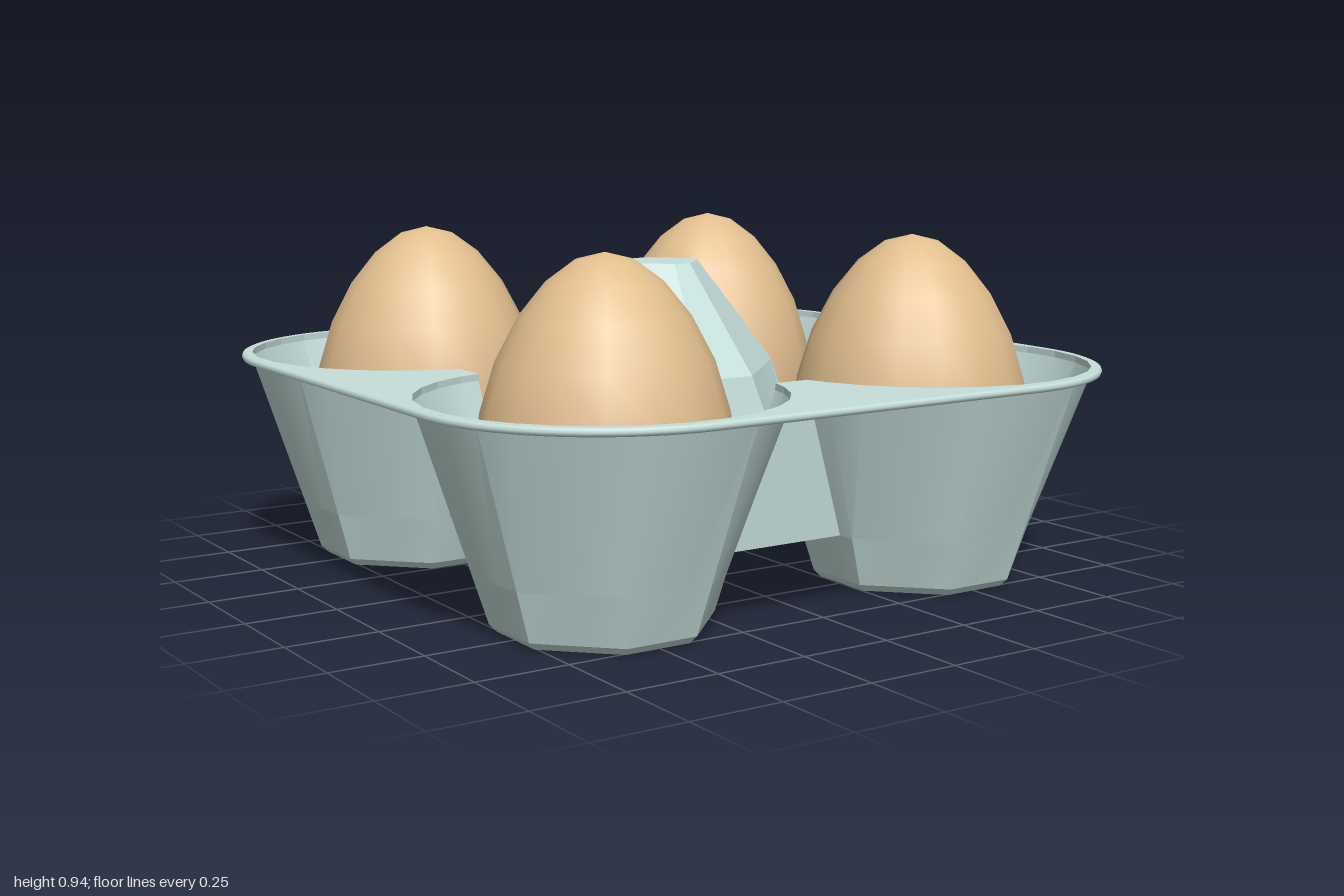
import * as THREE from 'three';
import { toCreasedNormals } from 'three/addons/utils/BufferGeometryUtils.js';

const RIM_Y = 0.57, FLOOR_Y = 0.155, POST_Y = 0.56, BEVEL_Y = 0.02;
const CENTRE = 0.505, TOP_R = 0.465;
// Angles (deg) measured from the diagonal to the tray's middle
const OUTER = 57.5, INNER_LOW = 28, INNER_HIGH = 22, FOOT_CORNER = 24.7;

const range = (a, b, n) => Array.from({ length: n + 1 }, (_, i) => a + (b - a) * i / n);
const lerp = THREE.MathUtils.lerp;

// Radius at a world angle of the foot: an octagon whose long sides face the diagonals
function footRadius(a) {
  const c = Math.abs(Math.cos(a)), s = Math.abs(Math.sin(a));
  return Math.min(0.27 / Math.max(c, s), 0.37 / (c + s));
}

// Point on the wall of the +x +z cup; the foot blends into a round mouth
function cupPoint(deg, y) {
  const a = THREE.MathUtils.degToRad(225 + deg);
  const t = Math.max(0, (y - BEVEL_Y) / (RIM_Y - BEVEL_Y));
  const r = lerp(footRadius(a), TOP_R, t) * (y < BEVEL_Y ? 0.93 : 1);
  return new THREE.Vector3(CENTRE + r * Math.cos(a), y, CENTRE + r * Math.sin(a));
}

// Skin joining successive rows of points
function skin(rows) {
  const pos = [], idx = [], n = rows[0].length;
  rows.forEach(row => row.forEach(p => pos.push(p.x, p.y, p.z)));
  for (let j = 0; j < rows.length - 1; j++) {
    for (let i = 0; i < n - 1; i++) {
      const a = j * n + i, b = a + n;
      idx.push(a, b, a + 1, a + 1, b, b + 1);
    }
  }
  const g = new THREE.BufferGeometry();
  g.setAttribute('position', new THREE.Float32BufferAttribute(pos, 3));
  g.setIndex(idx);
  return toCreasedNormals(g, 0.35);
}

export function createModel() {
  const model = new THREE.Group();
  const pulp = new THREE.MeshStandardMaterial({ color: 0xc6dfdb, side: THREE.DoubleSide });
  const shell = new THREE.MeshStandardMaterial({ color: 0xe2be8e });
  const add = (parent, name, geometry, material = pulp) => {
    const m = new THREE.Mesh(geometry, material);
    m.name = name;
    parent.add(m);
    return m;
  };

  // Wall angles, with a column at every corner of the foot
  const inner = [-INNER_LOW, ...range(-FOOT_CORNER, FOOT_CORNER, 4), INNER_LOW];
  const notch = range(INNER_LOW, OUTER, 3);
  const half = [OUTER, ...range(65.3, 114.7, 4), ...range(114.7, 155.3, 3).slice(1), 167.6];
  const outer = [...half, 180, ...half.map(d => 360 - d).reverse()];
  const notch2 = notch.map(d => 360 - d).reverse();
  const around = [...inner, ...notch.slice(1), ...outer.slice(1), ...notch2.slice(1)];
  const ring = (angles, y) => angles.map(d => cupPoint(d, y));

  // Cup foot and lower wall, all the way round
  const base = around.map(() => new THREE.Vector3(CENTRE, 0, CENTRE));
  const lowerCup = skin([base, ring(around, 0), ring(around, BEVEL_Y), ring(around, FLOOR_Y)]);
  // Upper wall on the outside
  const outerWall = skin([ring(outer, FLOOR_Y), ring(outer, RIM_Y)]);
  // Upper wall on the inside, straightening to meet the post
  const left = cupPoint(-INNER_HIGH, POST_Y), right = cupPoint(INNER_HIGH, POST_Y);
  const postEdge = inner.map(d => left.clone().lerp(right, (d + INNER_LOW) / (2 * INNER_LOW)));
  const innerWall = skin([ring(inner, FLOOR_Y), postEdge]);
  // Trough joining two neighbouring cups
  const section = [right, ...ring(notch, FLOOR_Y), cupPoint(OUTER, RIM_Y)];
  const trough = skin([section, section.map(p => new THREE.Vector3(p.x, p.y, -p.z))]);

  for (let k = 0; k < 4; k++) {
    const corner = new THREE.Group();
    corner.name = 'cup';
    corner.rotation.y = k * Math.PI / 2;
    add(corner, 'cupBase', lowerCup);
    add(corner, 'cupOuterWall', outerWall);
    add(corner, 'cupInnerWall', innerWall);
    add(corner, 'trough', trough);
    model.add(corner);
  }

  // Rim plate: rounded square, opened along the cup mouths and trough ends
  const outline = new THREE.Shape();
  [[1, 1], [-1, 1], [-1, -1], [1, -1]].forEach(([x, z], k) => {
    const q = k * Math.PI / 2;
    outline.absarc(x * 0.5, z * 0.5, 0.49, q, q + Math.PI / 2, false);
  });
  outline.closePath();
  const mouth = [];
  const arc = ring(outer, RIM_Y);
  for (let k = 0; k < 4; k++) {
    const c = Math.round(Math.cos(k * Math.PI / 2)), s = Math.round(Math.sin(k * Math.PI / 2));
    arc.forEach(p => mouth.push(new THREE.Vector2(p.x * c - p.z * s, p.x * s + p.z * c)));
  }
  outline.holes.push(new THREE.Path(mouth));
  const rimGeo = new THREE.ExtrudeGeometry(outline, { depth: 0.018, bevelEnabled: false, curveSegments: 10 });
  rimGeo.rotateX(Math.PI / 2).translate(0, RIM_Y + 0.018, 0);
  add(model, 'rimPlate', rimGeo);

  // Rolled lip round the plate's edge
  const lipPath = new THREE.CurvePath();
  const edge = outline.getPoints(10).map(p => new THREE.Vector3(p.x, RIM_Y + 0.007, p.y));
  edge.forEach((p, i) => {
    const next = edge[(i + 1) % edge.length];
    if (p.distanceTo(next) > 1e-5) lipPath.add(new THREE.LineCurve3(p, next));
  });
  add(model, 'rimLip', new THREE.TubeGeometry(lipPath, 160, 0.011, 8, true));

  // Hollow centre post with a flat top
  const octagon = (a, b, y) => {
    const pts = [[a, b], [b, a], [-b, a], [-a, b], [-a, -b], [-b, -a], [b, -a], [a, -b], [a, b]];
    return pts.map(([x, z]) => new THREE.Vector3(x, y, z));
  };
  const wide = Math.max(right.x, right.z), narrow = Math.min(right.x, right.z);
  add(model, 'centrePost', skin([
    octagon(wide, narrow, POST_Y), octagon(0.105, 0.025, 0.85), octagon(0, 0, 0.85),
  ]));

  // Eggs, pointed end up
  const profile = range(0, 1, 12).map(t => {
    const a = (t - 0.5) * Math.PI, s = Math.sin(a);
    const r = 0.325 * Math.cos(a) * (s > 0 ? 1 - 0.14 * s * s : 1);
    return new THREE.Vector2(Math.max(r, 0), 0.4 + s * (s > 0 ? 0.535 : 0.35));
  });
  const eggGeo = new THREE.LatheGeometry(profile, 16);
  [[-0.48, -0.485], [0.495, -0.49], [-0.49, 0.495], [0.495, 0.485]].forEach(([x, z], i) => {
    const egg = add(model, 'egg', eggGeo, shell);
    egg.position.set(x, 0, z);
    egg.rotation.y = i * 1.3;
  });

  return model;
}
